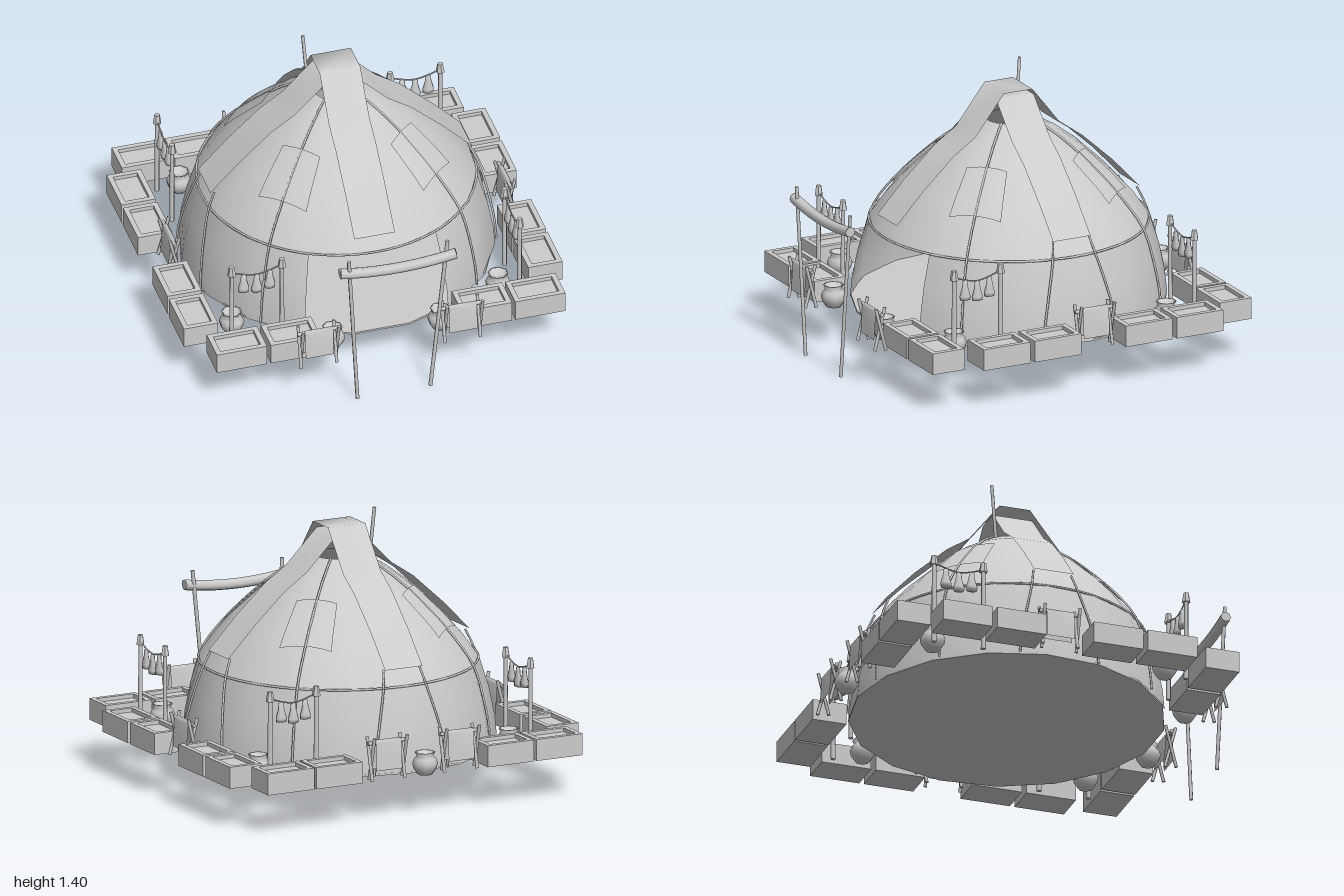
import * as THREE from 'three';

const CZ = -0.08; // tent centre in z
const SIDES = 17;
const solid = new THREE.MeshStandardMaterial({ color: 0xcccccc });
const flat = new THREE.MeshStandardMaterial({ color: 0xcccccc, flatShading: true });
const sheet = new THREE.MeshStandardMaterial({ color: 0xcccccc, side: THREE.DoubleSide });

const v2 = (list) => list.map(([x, y]) => new THREE.Vector2(x, y));
const WALL = [[0.79, 0.2], [0.78, 0.31], [0.75, 0.46], [0.70, 0.62]];
const ROOF = [[0.70, 0.62], [0.62, 0.735], [0.52, 0.845], [0.37, 0.985], [0.25, 1.075], [0.12, 1.15]];

function add(parent, name, geometry, material = solid, x = 0, y = 0, z = 0) {
  const mesh = new THREE.Mesh(geometry, material);
  mesh.name = name;
  mesh.position.set(x, y, z);
  parent.add(mesh);
  return mesh;
}

// height of the roof at a distance from the centre
function roofY(r) {
  for (let i = 1; i < ROOF.length; i++) {
    const [r0, y0] = ROOF[i - 1], [r1, y1] = ROOF[i];
    if (r >= r1) return y0 + (y1 - y0) * (r - r0) / (r1 - r0);
  }
  return 1.15;
}

// straight round pole between two points
function pole(parent, name, a, b, r, sides = 6) {
  const A = new THREE.Vector3(...a), B = new THREE.Vector3(...b), d = B.clone().sub(A);
  const mesh = add(parent, name, new THREE.CylinderGeometry(r, r, d.length(), sides));
  mesh.position.copy(A).add(B).multiplyScalar(0.5);
  mesh.quaternion.setFromUnitVectors(new THREE.Vector3(0, 1, 0), d.normalize());
}

function rope(parent, name, points, r = 0.006, closed = false) {
  const curve = new THREE.CatmullRomCurve3(points.map((p) => new THREE.Vector3(...p)), closed);
  add(parent, name, new THREE.TubeGeometry(curve, closed ? 68 : 20, r, 5, closed));
}

// cloth strip draped over the crown, following a half profile
function drape(parent, name, half, width, alongX) {
  const path = [...half.map(([s, y]) => [-s, y]), ...half.slice().reverse()];
  const geo = new THREE.PlaneGeometry(width, 1, 1, path.length - 1);
  const p = geo.attributes.position;
  for (let i = 0; i < p.count; i++) {
    const [s, y] = path[i >> 1];
    p.setXYZ(i, p.getX(i), y, s);
  }
  geo.computeVertexNormals();
  const mesh = add(parent, name, geo, sheet, -0.005, 0, CZ);
  if (alongX) mesh.rotation.y = Math.PI / 2;
}

// rectangular patch hugging the roof, facing a given angle
function roofPatch(parent, angle) {
  const geo = new THREE.PlaneGeometry(1, 1, 6, 6);
  const p = geo.attributes.position;
  for (let i = 0; i < p.count; i++) {
    const d = 0.465 - p.getY(i) * 0.2;
    const u = p.getX(i) * (0.24 - p.getY(i) * 0.06);
    p.setXYZ(i, u, roofY(Math.hypot(u, d)) + 0.012, d);
  }
  geo.computeVertexNormals();
  add(parent, 'roofPatch', geo, sheet, 0, 0, CZ).rotation.y = angle;
}

// open planter box with a slightly sunken top
function crate(parent, x, z, turned) {
  const g = new THREE.Group();
  g.name = 'crate';
  const w = 0.26, d = 0.177, m = 0.026;
  add(g, 'crateBody', new THREE.BoxGeometry(w, 0.09, d), solid, 0, 0.255, 0);
  for (const s of [-1, 1]) {
    add(g, 'crateRim', new THREE.BoxGeometry(w, 0.02, m), solid, 0, 0.31, s * (d - m) / 2);
    add(g, 'crateRim', new THREE.BoxGeometry(m, 0.02, d - 2 * m), solid, s * (w - m) / 2, 0.31, 0);
  }
  g.position.set(x, 0, z);
  if (turned) g.rotation.y = Math.PI / 2;
  parent.add(g);
}

// hide hung over a bar between two crossed-stick trestles
function hideRack(parent, x, z, turned) {
  const g = new THREE.Group();
  g.name = 'hideRack';
  for (const s of [-1, 1]) for (const t of [-1, 1])
    pole(g, 'rackStick', [s * 0.092 + t * 0.006, 0.21, -t * 0.028], [s * 0.092 + t * 0.006, 0.43, t * 0.028], 0.009, 5);
  pole(g, 'rackBar', [-0.11, 0.4, 0], [0.11, 0.4, 0], 0.01);
  const hide = new THREE.PlaneGeometry(0.145, 1, 1, 4);
  const path = [[0.26, 0.024], [0.40, 0.015], [0.415, 0], [0.40, -0.015], [0.26, -0.024]];
  const p = hide.attributes.position;
  for (let i = 0; i < p.count; i++) p.setXYZ(i, p.getX(i), ...path[i >> 1]);
  hide.computeVertexNormals();
  add(g, 'hide', hide, sheet);
  g.position.set(x, 0, z);
  if (turned) g.rotation.y = Math.PI / 2;
  parent.add(g);
}

// two posts with a sagging line and three hanging pouches
function pouchLine(parent, x, z, turned) {
  const g = new THREE.Group();
  g.name = 'pouchLine';
  for (const s of [-1, 1]) {
    add(g, 'post', new THREE.CylinderGeometry(0.011, 0.013, 0.44, 6), solid, s * 0.13, 0.42, 0);
    add(g, 'postCap', new THREE.CylinderGeometry(0.014, 0.022, 0.05, 6), flat, s * 0.13, 0.645, 0);
  }
  rope(g, 'line', [[-0.13, 0.635, 0], [-0.065, 0.612, 0], [0, 0.6, 0], [0.065, 0.612, 0], [0.13, 0.635, 0]], 0.004);
  const profile = v2([[0, -0.1], [0.028, -0.095], [0.03, -0.075], [0.017, -0.03], [0.014, 0], [0, 0.008]]);
  for (const s of [-1, 0, 1]) {
    const pouch = add(g, 'pouch', new THREE.LatheGeometry(profile, 7), solid, s * 0.068, s ? 0.605 : 0.593, 0);
    pouch.scale.z = 0.65;
  }
  g.position.set(x, 0, z);
  if (turned) g.rotation.y = Math.PI / 2;
  parent.add(g);
}

export function createModel() {
  const root = new THREE.Group();
  root.name = 'roundTent';

  // tent body: floor, wall with a front doorway, roof with a smoke hole
  add(root, 'floor', new THREE.CylinderGeometry(0.79, 0.79, 0.01, SIDES, 1, false, Math.PI / SIDES), solid, 0, 0.203, CZ);
  const door = 28 * Math.PI / 180;
  add(root, 'wall', new THREE.LatheGeometry(v2(WALL), 14, door, 2 * (Math.PI - door)), sheet, 0, 0, CZ);
  add(root, 'roof', new THREE.LatheGeometry(v2(ROOF), SIDES, Math.PI / SIDES), sheet, 0, 0, CZ);

  // crossed crown cloths and four patches
  drape(root, 'crownClothLong', [[0.68, 0.71], [0.53, 0.87], [0.36, 1.025], [0.24, 1.105], [0.08, 1.31]], 0.21, false);
  drape(root, 'crownClothWide', [[0.68, 0.71], [0.53, 0.865], [0.36, 1.02], [0.24, 1.1], [0.07, 1.27]], 0.21, true);
  for (let k = 0; k < 4; k++) roofPatch(root, Math.PI / 4 + k * Math.PI / 2);

  // band around the eaves
  const eaves = [];
  for (let k = 0; k < SIDES; k++) {
    const a = (2 * k + 1) * Math.PI / SIDES;
    eaves.push([0.697 * Math.sin(a), 0.622, CZ + 0.697 * Math.cos(a)]);
  }
  rope(root, 'eavesRope', eaves, 0.006, true);

  // diagonal ropes from crown to ground
  const run = [...WALL, ...ROOF.slice(1)];
  for (let k = 0; k < 4; k++) {
    const a = Math.PI / 4 + k * Math.PI / 2;
    rope(root, 'diagonalRope', run.map(([r, y]) => [(r + 0.004) * Math.sin(a), y + 0.004, CZ + (r + 0.004) * Math.cos(a)]));
  }

  // tie ropes from the cloth corners to the ground, left, back and right
  for (const a of [Math.PI / 2, Math.PI, -Math.PI / 2]) for (const s of [-1, 1]) {
    const pts = [[0.67, 0.71, 0.15], [0.71, 0.62, 0.17], [0.755, 0.46, 0.215], [0.785, 0.31, 0.25], [0.795, 0.2, 0.265]];
    rope(root, 'tieRope', pts.map(([r, y, da]) => [r * Math.sin(a + s * da), y, CZ + r * Math.cos(a + s * da)]));
  }

  // smoke pole behind the crown
  pole(root, 'smokePole', [-0.115, 1.05, -0.175], [-0.135, 1.4, -0.21], 0.009);

  // front poles carrying a rolled awning
  pole(root, 'awningPole', [-0.2, 0, 0.955], [-0.252, 0.87, 0.978], 0.01);
  pole(root, 'awningPole', [0.178, 0, 0.955], [0.268, 0.87, 0.95], 0.01);
  const roll = new THREE.QuadraticBezierCurve3(
    new THREE.Vector3(-0.295, 0.797, 0.968), new THREE.Vector3(0, 0.745, 0.968), new THREE.Vector3(0.305, 0.797, 0.968));
  add(root, 'awningRoll', new THREE.TubeGeometry(roll, 10, 0.027, 8));
  for (const t of [0, 1]) {
    const cap = add(root, 'awningRollEnd', new THREE.CircleGeometry(0.027, 8), sheet);
    cap.position.copy(roll.getPoint(t));
    cap.rotation.y = Math.PI / 2;
  }

  // crates around the tent
  for (const x of [-0.76, -0.48, 0.51, 0.787]) crate(root, x, 0.737, false);
  for (const x of [-0.765, -0.49, 0.475, 0.748]) crate(root, x, -0.893, false);
  for (const z of [-0.64, -0.355, 0.155, 0.44]) for (const x of [-0.896, 0.89]) crate(root, x, z, true);

  // hide racks: x, z, turned
  for (const spot of [[-0.22, -0.945], [0.19, -0.95], [-0.38, 0.88], [0.365, 0.88], [0.88, -0.1, true], [-0.857, -0.11, true]])
    hideRack(root, ...spot);

  // pouch lines: x, z, turned
  for (const spot of [[-0.735, -0.6, true], [0.605, -0.735], [-0.615, 0.597], [0.742, 0.485, true]])
    pouchLine(root, ...spot);

  // clay pots
  const pot = new THREE.LatheGeometry(v2([[0, 0.205], [0.038, 0.205], [0.058, 0.235], [0.064, 0.262], [0.055, 0.285],
    [0.042, 0.3], [0.052, 0.318], [0.044, 0.318], [0.034, 0.3], [0, 0.295]]), 8, Math.PI / 8);
  for (const [x, z] of [[-0.03, -0.937], [-0.63, -0.7], [0.72, -0.585], [-0.715, 0.495], [0.645, 0.565], [-0.272, 0.76], [0.285, 0.765]])
    add(root, 'pot', pot, solid, x, 0, z);

  return root;
}
